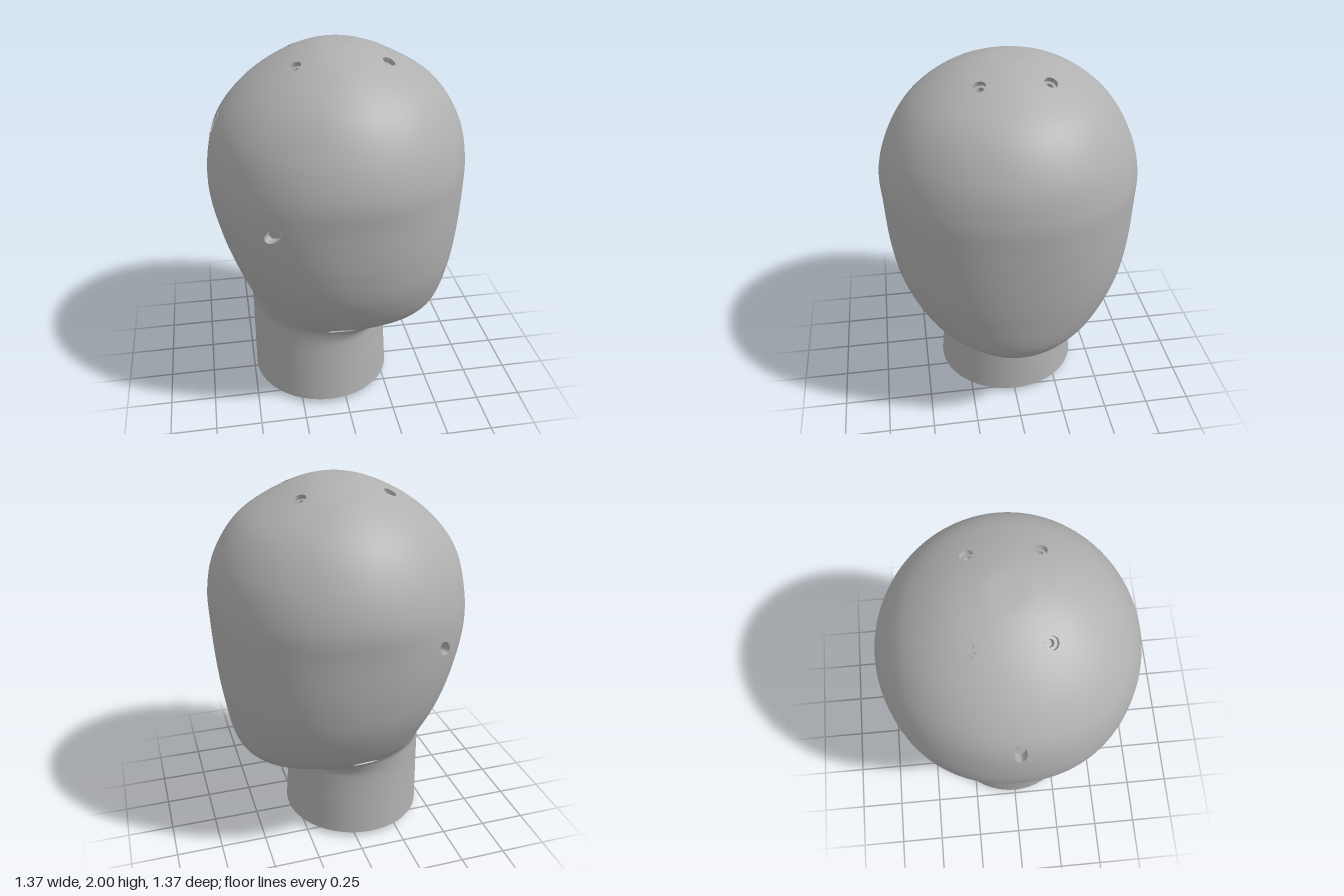
import * as THREE from 'three';

const V = (x, y, z) => new THREE.Vector3(x, y, z);
const grey = new THREE.MeshStandardMaterial({ color: 0xb0b0b0, side: THREE.DoubleSide });
grey.name = 'plain grey';

// Cross-sections from neck to crown:
// back x, back y, front x, front y, half width, side y, roundness exponent
const SECTIONS = [
  [-0.484, 0.027, 0.30, 0.027, 0.40, 0.027, 2],
  [-0.484, 0.20, 0.29, 0.20, 0.385, 0.20, 2],
  [-0.484, 0.36, 0.28, 0.36, 0.373, 0.36, 2],
  [-0.484, 0.42, 0.282, 0.44, 0.373, 0.41, 2],
  [-0.484, 0.45, 0.32, 0.468, 0.38, 0.45, 2],
  [-0.484, 0.48, 0.39, 0.445, 0.393, 0.485, 2],
  [-0.484, 0.50, 0.46, 0.438, 0.41, 0.505, 2],
  [-0.485, 0.53, 0.53, 0.48, 0.445, 0.535, 2],
  [-0.492, 0.59, 0.59, 0.57, 0.505, 0.595, 2.03],
  [-0.57, 0.80, 0.64, 0.80, 0.61, 0.80, 2.1],
  [-0.635, 1.00, 0.665, 1.00, 0.655, 1.00, 2.12],
  [-0.685, 1.25, 0.682, 1.25, 0.675, 1.25, 2.1],
  [-0.675, 1.44, 0.685, 1.42, 0.68, 1.42, 2.02],
  [-0.625, 1.62, 0.645, 1.60, 0.625, 1.60, 2],
  [-0.50, 1.78, 0.52, 1.79, 0.51, 1.78, 2],
  [-0.31, 1.915, 0.32, 1.918, 0.32, 1.925, 2],
  [-0.12, 1.99, 0.13, 1.99, 0.13, 1.992, 2],
  [0, 2, 0, 2, 0, 2, 2],
];

// Drilled holes: rough position, long direction, half width, stretch
const HOLES = [];
for (const s of [1, -1]) {
  for (const x of [-0.23, 0.24]) {
    HOLES.push({ name: 'crownHole', at: V(x, 1.95, s * 0.175), along: V(1, 0, 0), r: 0.034, k: 1, stepped: true });
  }
  HOLES.push({ name: 'sideHole', at: V(-0.4, 1.23, s * 0.55), along: V(0.7, 0.7, s * 0.4), r: 0.032, k: 1.8 });
  HOLES.push({ name: 'jawHole', at: V(-0.035, 0.53, s * 0.44), along: V(1, 0.28, s * 0.2), r: 0.033, k: 2.4 });
}
HOLES.push({ name: 'backHole', at: V(-0.635, 1.6, 0), along: V(0.4, 1, 0), r: 0.032, k: 1.9 });

// Smooth lofted head with elliptical openings at the holes
function headGeometry(around, rows) {
  const curve = (f) => new THREE.CatmullRomCurve3(SECTIONS.map(f));
  const back = curve((s) => V(s[0], s[1], 0));
  const front = curve((s) => V(s[2], s[3], 0));
  const side = curve((s) => V(s[4], s[5], s[6]));
  const pos = [], index = [];
  for (let j = 0; j <= rows; j++) {
    const b = back.getPoint(j / rows), f = front.getPoint(j / rows), w = side.getPoint(j / rows);
    for (let i = 0; i < around; i++) {
      const t = (i / around) * Math.PI * 2, c = Math.cos(t), s = Math.sin(t);
      const bend = (v) => Math.sign(v) * Math.pow(Math.abs(v), 2 / w.z);
      const end = c > 0 ? f.y : b.y;
      pos.push((f.x + b.x) / 2 + ((f.x - b.x) / 2) * bend(c), w.y + (end - w.y) * c * c, w.x * bend(s));
      if (j < rows) {
        const p = j * around + i, q = j * around + (i + 1) % around;
        index.push(p, p + around, q, p + around, q + around, q);
      }
    }
  }
  const g = new THREE.BufferGeometry();
  g.setAttribute('position', new THREE.Float32BufferAttribute(pos, 3));
  g.setIndex(index);
  g.computeVertexNormals();

  // Place each hole on the surface and pull the enclosed vertices to its rim
  const P = g.attributes.position, N = g.attributes.normal, p = V(0, 0, 0);
  const inside = new Int8Array(P.count).fill(-1);
  HOLES.forEach((h, id) => {
    let best = 0, bestD = Infinity;
    for (let i = 0; i < P.count; i++) {
      const d = p.fromBufferAttribute(P, i).distanceTo(h.at);
      if (d < bestD) { bestD = d; best = i; }
    }
    h.centre = V(0, 0, 0).fromBufferAttribute(P, best);
    h.n = V(0, 0, 0).fromBufferAttribute(N, best).normalize();
    h.u = h.along.clone().addScaledVector(h.n, -h.along.dot(h.n)).normalize();
    h.v = h.u.clone().cross(h.n);
    for (let i = 0; i < P.count; i++) {
      p.fromBufferAttribute(P, i).sub(h.centre);
      if (p.length() > h.r * h.k * 1.3) continue;
      const a = p.dot(h.u), b = p.dot(h.v), d = Math.hypot(a / (h.r * h.k), b / h.r);
      if (d >= 1) continue;
      inside[i] = id;
      const grow = 1 / Math.max(d, 1e-4) - 1;
      p.addScaledVector(h.u, a * grow).addScaledVector(h.v, b * grow).add(h.centre);
      P.setXYZ(i, p.x, p.y, p.z);
    }
  });
  const kept = [];
  for (let i = 0; i < index.length; i += 3) {
    const [a, b, c] = [index[i], index[i + 1], index[i + 2]];
    if (inside[a] >= 0 && inside[a] === inside[b] && inside[a] === inside[c]) continue;
    kept.push(a, b, c);
  }
  g.setIndex(kept);
  return g;
}

function add(parent, name, geometry, x = 0, y = 0, z = 0) {
  const m = new THREE.Mesh(geometry, grey);
  m.name = name;
  m.position.set(x, y, z);
  parent.add(m);
  return m;
}

// Open tube wall between two heights, and a flat ring or disc facing up or down
const wall = (r, y0, y1) => new THREE.CylinderGeometry(r, r, y1 - y0, 40, 1, true).translate(0, (y0 + y1) / 2, 0);
const flat = (r0, r1, dir) => (r0 ? new THREE.RingGeometry(r0, r1, 64) : new THREE.CircleGeometry(r1, 64)).rotateX(-dir * Math.PI / 2);

// Lining of one drilled hole
function holeLining(h) {
  const g = new THREE.Group();
  g.name = h.name;
  const depth = h.stepped ? 0.025 : 0.05;
  add(g, 'holeWall', wall(h.r, -depth, 0));
  add(g, 'holeFloor', flat(h.stepped ? h.r * 0.55 : 0, h.r, 1), 0, -depth);
  if (h.stepped) {
    add(g, 'innerWall', wall(h.r * 0.55, -0.06, -depth));
    add(g, 'innerFloor', flat(0, h.r * 0.55, 1), 0, -0.06);
  }
  g.scale.set(h.k, 1, 1);
  g.quaternion.setFromRotationMatrix(new THREE.Matrix4().makeBasis(h.u, h.n, h.v));
  g.position.copy(h.centre);
  return g;
}

// Round mounting boss with a bore and six bolt holes
function bossGeometry() {
  const shape = new THREE.Shape().absarc(0, 0, 0.168, 0, Math.PI * 2);
  const drill = (x, y, r) => shape.holes.push(new THREE.Path().absarc(x, y, r, 0, Math.PI * 2, true));
  drill(0, 0, 0.078);
  for (let i = 0; i < 6; i++) {
    const a = (i * Math.PI) / 3 + 0.25;
    drill(0.125 * Math.cos(a), 0.125 * Math.sin(a), 0.013);
  }
  return new THREE.ExtrudeGeometry(shape, { depth: 0.05, bevelEnabled: false, curveSegments: 32 }).rotateX(-Math.PI / 2);
}

export function createModel() {
  const model = new THREE.Group();
  model.name = 'mannequinHead';
  add(model, 'headAndNeck', headGeometry(240, 220));
  HOLES.forEach((h) => model.add(holeLining(h)));

  // Underside of the neck: rim, shallow recess and boss
  const base = new THREE.Group();
  base.name = 'neckBase';
  base.position.x = -0.092;
  base.scale.x = 0.98;
  add(base, 'neckRim', flat(0.365, 0.4, -1), 0, 0.027);
  add(base, 'recessWall', wall(0.365, 0.027, 0.05));
  add(base, 'recessFloor', flat(0, 0.365, -1), 0, 0.05);
  model.add(base);
  add(model, 'mountingBoss', bossGeometry(), -0.085, 0, 0);
  return model;
}
